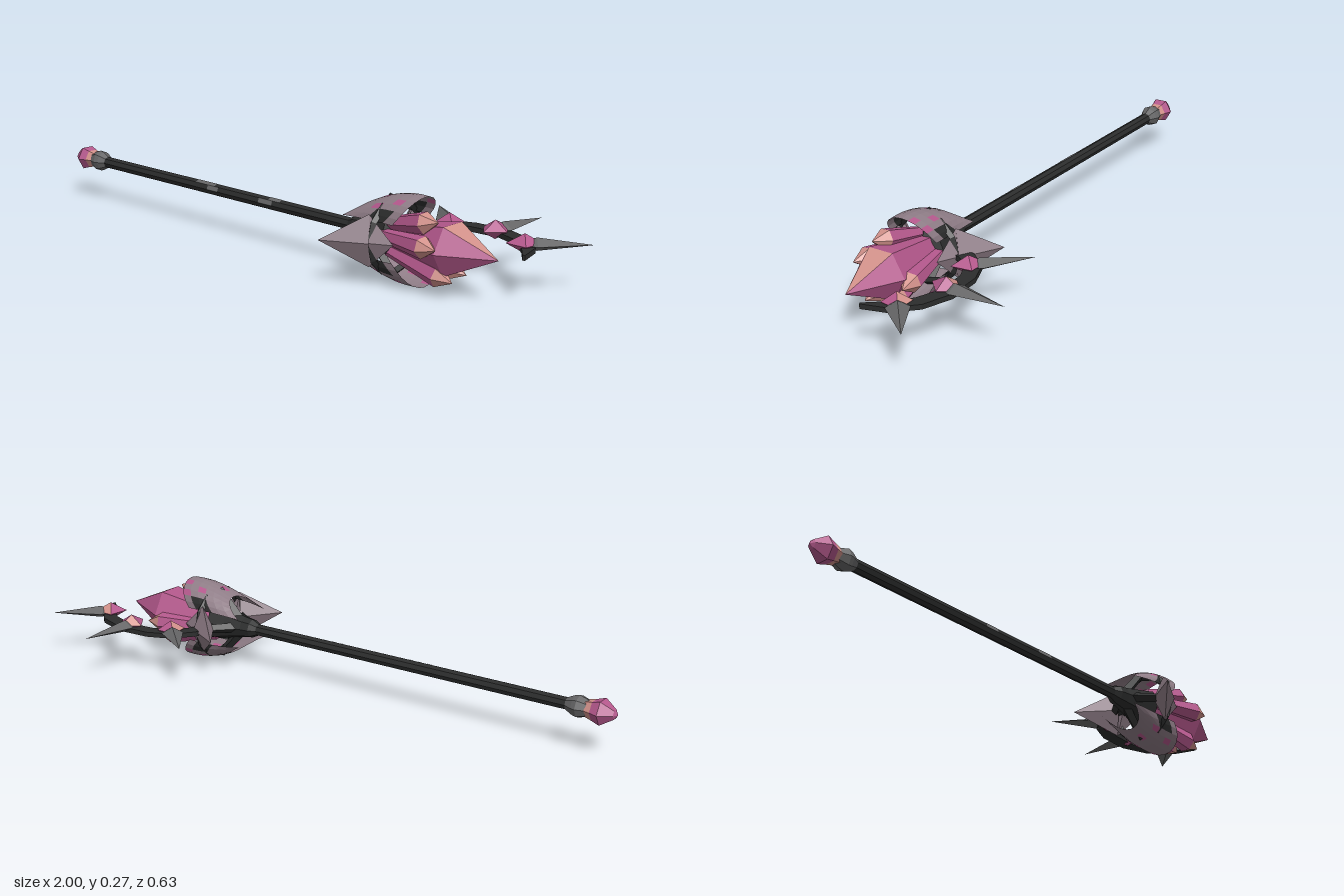
import * as THREE from 'three';

const mat = (name, color, side = THREE.FrontSide) =>
  Object.assign(new THREE.MeshStandardMaterial({ color, side }), { name });

export function createModel() {
  const magenta = mat('magenta crystal', 0xb4588c, THREE.DoubleSide);
  const salmon = mat('salmon crystal', 0xd2918a);
  const mauve = mat('mauve plate', 0x8f7d87, THREE.DoubleSide);
  const dark = mat('dark metal', 0x2c2d2d, THREE.DoubleSide);
  const steel = mat('grey steel', 0x666667);

  const root = new THREE.Group();
  root.name = 'crystalStaff';
  const V = (x, y, z) => new THREE.Vector3(x, y, z);
  const AY = 0.147, AZ = 0.116; // shaft axis

  const flat = (g) => {
    const f = g.index ? g.toNonIndexed() : g;
    f.computeVertexNormals();
    return f;
  };
  const add = (parent, name, geo, material) => {
    const m = new THREE.Mesh(flat(geo), material);
    m.name = name;
    parent.add(m);
    return m;
  };
  // Faceted turned part along +x from [x, radius] pairs
  const turned = (parent, name, pts, sides, material) => {
    const g = new THREE.LatheGeometry(pts.map(([x, r]) => new THREE.Vector2(r, x)), sides);
    g.rotateZ(-Math.PI / 2);
    return add(parent, name, g, material);
  };
  // Six-sided crystal from base to tip, with selected tip facets in salmon
  const crystal = (parent, name, base, tip, r0, r1, tipLen, salmonFacets) => {
    const group = new THREE.Group();
    group.name = name;
    const len = base.distanceTo(tip), body = len - tipLen;
    const shaft = new THREE.CylinderGeometry(r1, r0, body, 6, 1, true);
    shaft.translate(0, body / 2, 0);
    const cap = new THREE.CylinderGeometry(0, r1, tipLen, 6, 1, true);
    cap.translate(0, body + tipLen / 2, 0);
    cap.clearGroups();
    for (let i = 0; i < 6; i++) cap.addGroup(i * 3, 3, salmonFacets.includes(i) ? 1 : 0);
    const back = new THREE.CylinderGeometry(r0, 0, r0, 6, 1, true);
    back.translate(0, -r0 / 2, 0);
    add(group, name + 'Body', shaft, magenta);
    add(group, name + 'Tip', cap, [magenta, salmon]);
    add(group, name + 'Back', back, magenta);
    group.position.copy(base);
    group.quaternion.setFromUnitVectors(V(0, 1, 0), tip.clone().sub(base).normalize());
    parent.add(group);
  };
  // Four-sided spike lying in a horizontal plane
  const spike = (parent, name, base, tip, halfHeight, halfWidth, material) => {
    const d = tip.clone().sub(base), len = d.length();
    d.normalize();
    const g = new THREE.ConeGeometry(1, len, 4);
    g.scale(halfHeight, 1, halfWidth);
    g.translate(0, len / 2, 0);
    const up = V(0, 1, 0);
    g.applyMatrix4(new THREE.Matrix4().makeBasis(up, d, up.clone().cross(d)));
    g.translate(base.x, base.y, base.z);
    return add(parent, name, g, material);
  };

  const staff = new THREE.Group();
  staff.name = 'staff';
  staff.position.set(0, AY, AZ);
  root.add(staff);

  // Shaft with worn patches, pommel and head socket
  turned(staff, 'shaft', [[-0.87, 0.02], [0.36, 0.02]], 8, dark);
  for (const [x, len, turn] of [[-0.36, 0.09, 1], [-0.3, 0.05, 0], [-0.06, 0.06, 0], [-0.02, 0.05, 1]]) {
    const g = new THREE.CylinderGeometry(0.0208, 0.0208, len, 1, 1, true, 0, Math.PI / 4);
    g.rotateZ(-Math.PI / 2);
    g.rotateX(-turn * Math.PI / 4 - Math.PI / 4);
    g.translate(x + len / 2, 0, 0);
    add(staff, 'wornPatch', g, steel);
  }
  turned(staff, 'pommelCollar',
    [[-0.91, 0], [-0.905, 0.026], [-0.875, 0.036], [-0.86, 0.032], [-0.835, 0.02]], 8, steel);
  turned(staff, 'pommelCrystal', [[-1, 0], [-0.99, 0.016], [-0.95, 0.043], [-0.89, 0.022]], 6, magenta);
  turned(staff, 'pommelCrystalBase', [[-0.922, 0.0335], [-0.895, 0.026]], 6, salmon);
  turned(staff, 'socket',
    [[0.325, 0.02], [0.35, 0.032], [0.38, 0.036], [0.44, 0.05], [0.5, 0.065], [0.54, 0]], 8, dark);

  // Holding ring and its struts
  const ring = new THREE.TorusGeometry(0.112, 0.012, 4, 12);
  ring.rotateY(Math.PI / 2);
  ring.translate(0.5, 0, 0);
  add(staff, 'holdingRing', ring, dark);
  for (let i = 0; i < 4; i++) {
    const g = new THREE.CylinderGeometry(0.014, 0.018, 0.13, 4);
    g.translate(0, 0.065, 0);
    g.rotateZ(-0.75);
    g.translate(0.4, 0.02, 0);
    g.rotateX(i * Math.PI / 2);
    add(staff, 'ringStrut', g, dark);
  }

  // Arched swallow-tailed plates above and below, with dark and pink patches
  const pinkCells = ['3,3', '4,5', '8,4', '9,2', '6,1', '2,5'];
  for (const s of [1, -1]) {
    const nu = 12, nv = 6, pos = [];
    const point = (i, j) => {
      const u = i / nu * 2 - 1, v = j / nv, a = u * 0.98;
      const xb = 0.43 - 0.075 * u * u, xf = 0.615 - 0.055 * u * u;
      const r = 0.144 - 0.034 * u * u - 0.045 * Math.pow(1 - v, 2) * (1 - 0.5 * u * u) - 0.008 * v * v;
      return [xb + (xf - xb) * v, s * r * Math.cos(a), r * Math.sin(a)];
    };
    const g = new THREE.BufferGeometry();
    for (let i = 0; i < nu; i++) for (let j = 0; j < nv; j++) {
      const a = point(i, j), b = point(i + 1, j), c = point(i, j + 1), d = point(i + 1, j + 1);
      const quad = s > 0 ? [a, b, c, b, d, c] : [a, c, b, b, c, d];
      const edge = i < 2 || i >= nu - 2;
      const kind = edge && (j === 3 || j === 4) ? 1 : pinkCells.includes(`${i},${j}`) ? 2 : 0;
      g.addGroup(pos.length / 3, 6, kind);
      pos.push(...quad.flat());
    }
    g.setAttribute('position', new THREE.Float32BufferAttribute(pos, 3));
    add(staff, s > 0 ? 'upperPlate' : 'lowerPlate', g, [mauve, dark, magenta]);

    // Swept-back side barb and its forward root
    spike(staff, 'sideBarb', V(0.485, 0, s * 0.1), V(0.373, 0, s * 0.198), 0.08, 0.035, mauve);
    spike(staff, 'sideBarbRoot', V(0.485, 0, s * 0.1), V(0.57, 0, s * 0.09), 0.08, 0.03, mauve);
  }

  // Crystal cluster
  crystal(staff, 'mainCrystal', V(0.5, 0, 0), V(0.88, 0, 0), 0.045, 0.085, 0.165, [1, 4]);
  const cluster = [[62, 0.095, 0.7], [10, 0.096, 0.73], [-65, 0.095, 0.75], [-115, 0.09, 0.74],
    [-167, 0.095, 0.74]];
  for (const [deg, r, x] of cluster) {
    const a = THREE.MathUtils.degToRad(deg), y = Math.sin(a), z = Math.cos(a);
    crystal(staff, 'smallCrystal', V(0.49, y * 0.045, z * 0.045), V(x, y * r, z * r),
      0.02, 0.034, 0.055, [0, 1, 2, 3, 4, 5]);
  }

  // Curved arm behind the head: [x, z, half width]
  const path = [[0.47, 0.055, 0.02], [0.495, -0.03, 0.025], [0.54, -0.085, 0.026], [0.61, -0.115, 0.024],
    [0.72, -0.122, 0.023], [0.81, -0.09, 0.024], [0.875, -0.03, 0.02], [0.91, 0.04, 0.004]];
  const sides = [[], []];
  path.forEach(([x, z, w], i) => {
    const p = path[Math.max(i - 1, 0)], n = path[Math.min(i + 1, path.length - 1)];
    const dx = n[0] - p[0], dz = n[1] - p[1], l = Math.hypot(dx, dz);
    [1, -1].forEach((s, k) =>
      sides[k].push(new THREE.Vector2(x - s * w * dz / l, -(z + s * w * dx / l))));
  });
  const arm = new THREE.ExtrudeGeometry(new THREE.Shape([...sides[0], ...sides[1].reverse()]),
    { depth: 0.016, bevelEnabled: false });
  arm.rotateX(-Math.PI / 2);
  arm.translate(0, 0.138, 0);
  add(root, 'curvedArm', arm, dark);

  // Thorns with gems set at their roots: gem x, z then tip x, z
  for (const [x, z, tx, tz] of [[0.55, -0.075, 0.4, -0.21], [0.7, -0.105, 0.716, -0.315],
    [0.85, -0.045, 1, -0.175]]) {
    const base = V(x, 0.157, z), tip = V(tx, 0.157, tz);
    const dir = tip.clone().sub(base).normalize();
    spike(root, 'thorn', base.clone().addScaledVector(dir, 0.035), tip, 0.02, 0.036, steel);
    spike(root, 'thornRoot', base.clone().addScaledVector(dir, 0.035),
      base.clone().addScaledVector(dir, -0.03), 0.02, 0.036, steel);
    const gem = new THREE.OctahedronGeometry(1);
    gem.scale(0.046, 0.03, 0.054);
    gem.rotateY(Math.atan2(dir.x, dir.z));
    gem.translate(x, 0.159, z);
    for (let i = 0; i < 8; i++) gem.addGroup(i * 3, 3, i === 0 ? 1 : 0);
    add(root, 'thornGem', gem, [magenta, salmon]);
  }

  return root;
}
